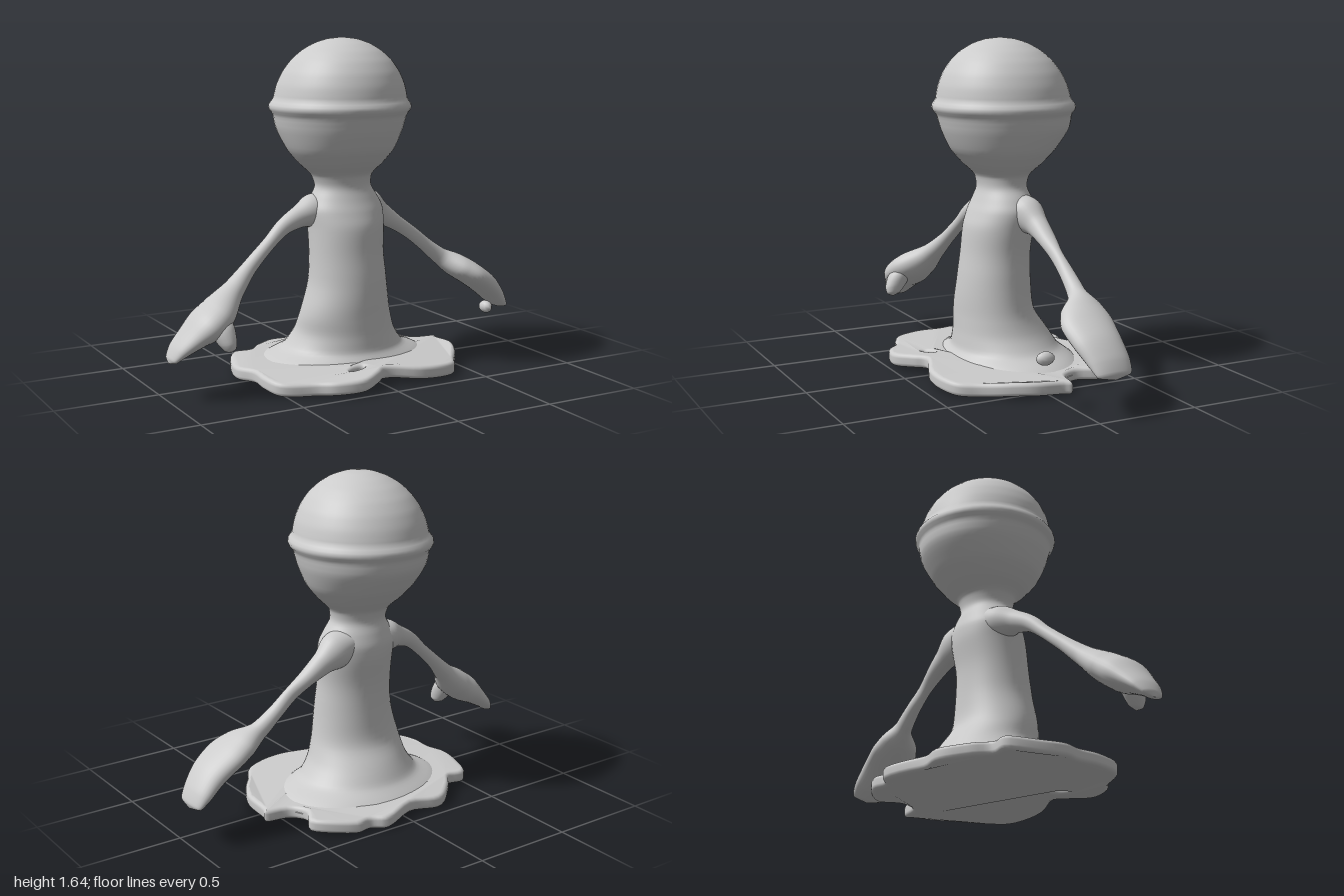
import * as THREE from 'three';
import { mergeVertices } from 'three/addons/utils/BufferGeometryUtils.js';

const material = new THREE.MeshStandardMaterial({ color: 0xcccccc, roughness: 0.8 });

// Smooth skin over sections [x, y, z, halfThickness, halfDepth]; depth runs along z.
function loft(name, sections, { steps = 40, sides = 32, upright = false } = {}) {
  const path = new THREE.CatmullRomCurve3(sections.map(s => new THREE.Vector3(s[0], s[1], s[2])));
  const size = new THREE.CatmullRomCurve3(sections.map(s => new THREE.Vector3(s[3], s[4], 0)));
  const positions = [], indices = [];
  for (let i = 0; i <= steps; i++) {
    const p = path.getPoint(i / steps), r = size.getPoint(i / steps);
    const t = upright ? new THREE.Vector3(0, 1, 0) : path.getTangent(i / steps);
    const len = Math.hypot(t.x, t.y);
    for (let j = 0; j < sides; j++) {
      const a = (j / sides) * Math.PI * 2, u = Math.cos(a) * Math.max(r.x, 0.0005);
      positions.push(p.x + (t.y / len) * u, p.y - (t.x / len) * u, p.z + Math.sin(a) * Math.max(r.y, 0.0005));
      if (i < steps) {
        const k = i * sides + j, n = i * sides + (j + 1) % sides;
        indices.push(k, k + sides, n, n, k + sides, n + sides);
      }
    }
  }
  const geometry = new THREE.BufferGeometry();
  geometry.setAttribute('position', new THREE.Float32BufferAttribute(positions, 3));
  geometry.setIndex(indices);
  geometry.computeVertexNormals();
  const mesh = new THREE.Mesh(geometry, material);
  mesh.name = name;
  return mesh;
}

// Flat puddle-like base with a ragged, rounded rim and one small hole
function makeBase() {
  const rim = [
    [0.58, -0.06], [0.575, 0.08], [0.52, 0.2], [0.44, 0.31], [0.38, 0.4], [0.28, 0.44], [0.16, 0.44],
    [0.0, 0.385], [-0.06, 0.43], [-0.17, 0.49], [-0.3, 0.46], [-0.38, 0.395], [-0.53, 0.32], [-0.56, 0.2],
    [-0.555, 0.08], [-0.59, -0.02], [-0.57, -0.14], [-0.49, -0.29], [-0.4, -0.285], [-0.33, -0.36],
    [-0.21, -0.45], [-0.06, -0.425], [0.15, -0.495], [0.22, -0.45], [0.3, -0.46], [0.48, -0.33],
    [0.43, -0.21], [0.47, -0.13], [0.59, -0.1],
  ];
  const curve = new THREE.CatmullRomCurve3(rim.map(([x, z]) => new THREE.Vector3(x, -z, 0)), true);
  const outline = curve.getPoints(140).slice(0, -1).map(p => new THREE.Vector2(p.x, p.y));
  const shape = new THREE.Shape(outline.reverse());
  const hole = new THREE.Path();
  hole.absellipse(-0.12, -0.32, 0.045, 0.022, 0, Math.PI * 2, false, 0.3);
  shape.holes.push(hole);
  let geometry = new THREE.ExtrudeGeometry(shape, {
    depth: 0.025, bevelThickness: 0.02, bevelSize: 0.02, bevelOffset: -0.02, bevelSegments: 4, curveSegments: 16,
  });
  geometry.rotateX(-Math.PI / 2).translate(0, 0.02, 0);
  // Gentle ripples along the rim, lifted at the front middle
  const pos = geometry.attributes.position;
  for (let i = 0; i < pos.count; i++) {
    const x = pos.getX(i), y = pos.getY(i), z = pos.getZ(i);
    const a = Math.atan2(z, x);
    const lift = z > 0.2 ? 0.03 * Math.exp(-((x / 0.14) ** 2)) : 0;
    pos.setY(i, y + lift + 0.006 * (1 + Math.sin(a * 7)));
  }
  geometry.deleteAttribute('normal');
  geometry.deleteAttribute('uv');
  geometry = mergeVertices(geometry, 1e-5);
  geometry.computeVertexNormals();
  const mesh = new THREE.Mesh(geometry, material);
  mesh.name = 'base';
  return mesh;
}

export function createModel() {
  const group = new THREE.Group();
  group.name = 'figure';
  group.add(makeBase());

  // Torso, neck and ball head in one continuous skin
  const body = [
    [0, 0.04, -0.06, 0.47, 0.34], [0, 0.08, -0.05, 0.4, 0.3], [0, 0.12, -0.04, 0.31, 0.26],
    [-0.005, 0.2, -0.02, 0.255, 0.23], [-0.015, 0.3, 0.01, 0.23, 0.195], [-0.005, 0.45, 0.015, 0.2, 0.18],
    [-0.005, 0.6, 0.005, 0.19, 0.17], [0, 0.72, -0.01, 0.195, 0.173], [0, 0.8, -0.025, 0.2, 0.16],
    [0, 0.86, -0.03, 0.175, 0.138], [-0.005, 0.92, -0.03, 0.145, 0.12], [-0.01, 0.97, -0.033, 0.155, 0.13],
    [-0.012, 1.03, -0.036, 0.215, 0.195], [-0.012, 1.1, -0.04, 0.27, 0.26],
  ];
  for (let i = 0; i <= 9; i++) {
    const a = Math.PI * (0.6 - 0.6 * i / 9);
    body.push([-0.012, 1.305 + 0.335 * Math.cos(a), -0.045 + 0.02 * Math.cos(a),
      0.33 * Math.sin(a), 0.335 * Math.sin(a)]);
  }
  group.add(loft('bodyAndHead', body, { steps: 110, sides: 48, upright: true }));

  // Drooping arms that widen into mitten hands
  group.add(loft('leftArm', [
    [0.06, 0.83, -0.07, 0.06, 0.08], [0.16, 0.79, -0.08, 0.09, 0.085], [0.25, 0.745, -0.095, 0.058, 0.055],
    [0.35, 0.685, -0.1, 0.04, 0.042], [0.44, 0.625, -0.1, 0.036, 0.03], [0.53, 0.555, -0.105, 0.036, 0.036],
    [0.62, 0.485, -0.1, 0.045, 0.045], [0.7, 0.435, -0.075, 0.062, 0.105], [0.78, 0.385, -0.062, 0.063, 0.13],
    [0.87, 0.32, -0.065, 0.06, 0.12], [0.94, 0.25, -0.08, 0.047, 0.105], [0.98, 0.2, -0.085, 0.026, 0.085],
    [0.99, 0.182, -0.085, 0, 0],
  ], { steps: 72 }));
  group.add(loft('rightArm', [
    [-0.06, 0.83, -0.06, 0.06, 0.08], [-0.16, 0.8, -0.05, 0.08, 0.085], [-0.25, 0.775, -0.03, 0.055, 0.055],
    [-0.34, 0.735, -0.015, 0.04, 0.04], [-0.43, 0.66, 0, 0.032, 0.035], [-0.54, 0.565, 0.025, 0.036, 0.04],
    [-0.64, 0.475, 0.065, 0.05, 0.065], [-0.74, 0.395, 0.12, 0.075, 0.125], [-0.81, 0.345, 0.135, 0.078, 0.135],
    [-0.89, 0.285, 0.13, 0.055, 0.11], [-0.95, 0.235, 0.125, 0.037, 0.085], [-0.985, 0.195, 0.125, 0.02, 0.055],
    [-0.998, 0.18, 0.125, 0, 0],
  ], { steps: 72 }));

  // Stubby thumb under the right hand
  group.add(loft('rightThumb', [
    [-0.79, 0.4, 0.16, 0.03, 0.04], [-0.77, 0.34, 0.2, 0.06, 0.065], [-0.755, 0.28, 0.235, 0.045, 0.055],
    [-0.745, 0.245, 0.25, 0.028, 0.035], [-0.74, 0.23, 0.255, 0, 0],
  ], { steps: 20, sides: 20 }));

  // Loose droplet beside the left hand
  const droplet = new THREE.Mesh(new THREE.SphereGeometry(1, 10, 7), material);
  droplet.name = 'droplet';
  droplet.scale.set(0.03, 0.032, 0.045);
  droplet.position.set(0.75, 0.247, 0.135);
  group.add(droplet);
  return group;
}
